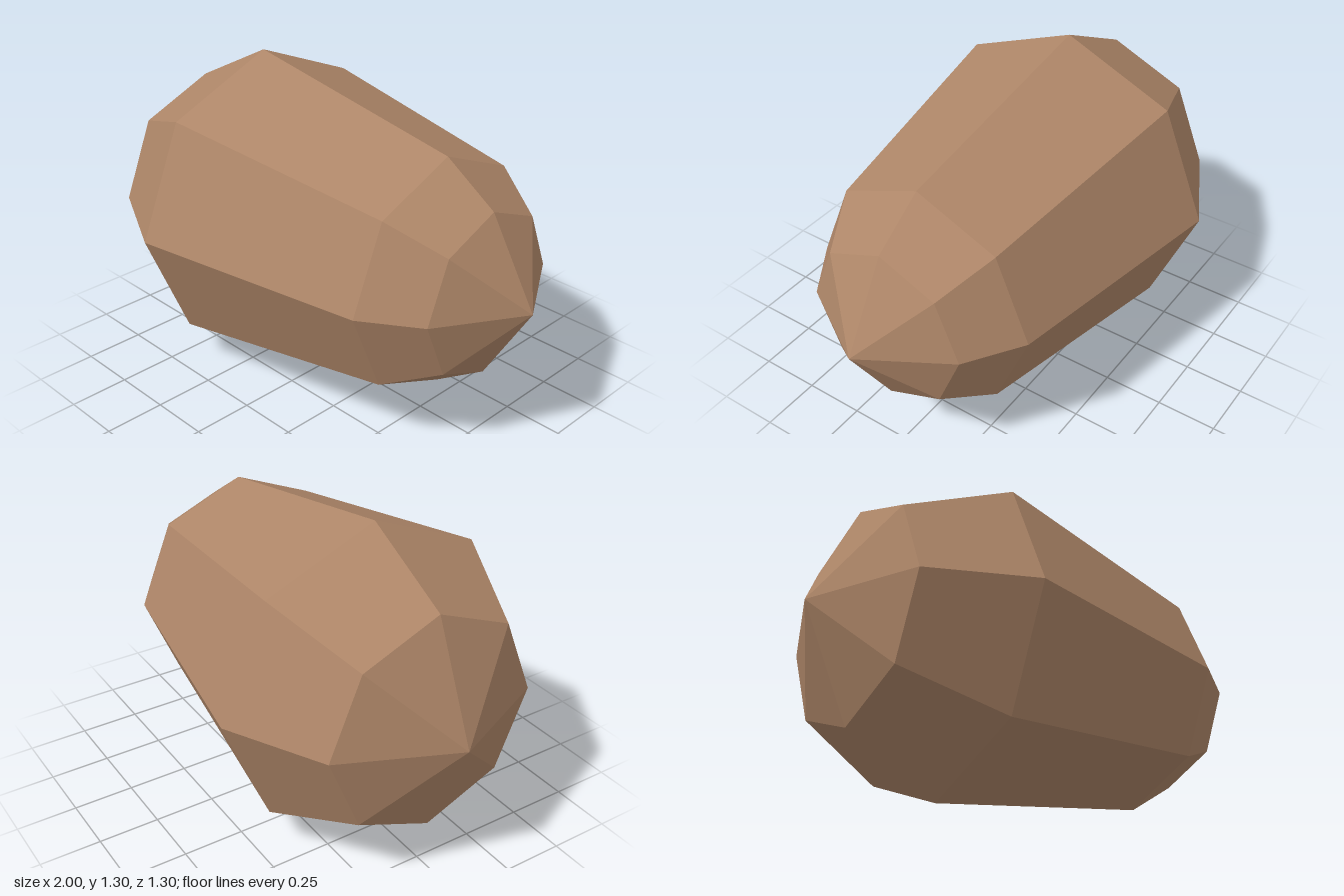
import * as THREE from 'three';

export function createModel() {
  const group = new THREE.Group();
  group.name = 'potato';

  const brownSkin = new THREE.MeshStandardMaterial({ color: 0xae8668, flatShading: true });
  brownSkin.name = 'brownSkin';

  // Eight-sided body: blunt wide end at -x, narrower end at +x
  const profile = [
    [0, -1], [0.45, -0.8], [0.65, -0.41], [0.48, 0.58], [0.335, 0.8], [0, 1],
  ].map(([r, x]) => new THREE.Vector2(r, x));

  const geometry = new THREE.LatheGeometry(profile, 8).toNonIndexed();
  geometry.rotateZ(-Math.PI / 2); // lay the axis along x
  geometry.translate(0, 0.65, 0);
  geometry.computeVertexNormals();

  const body = new THREE.Mesh(geometry, brownSkin);
  body.name = 'body';
  group.add(body);
  return group;
}
